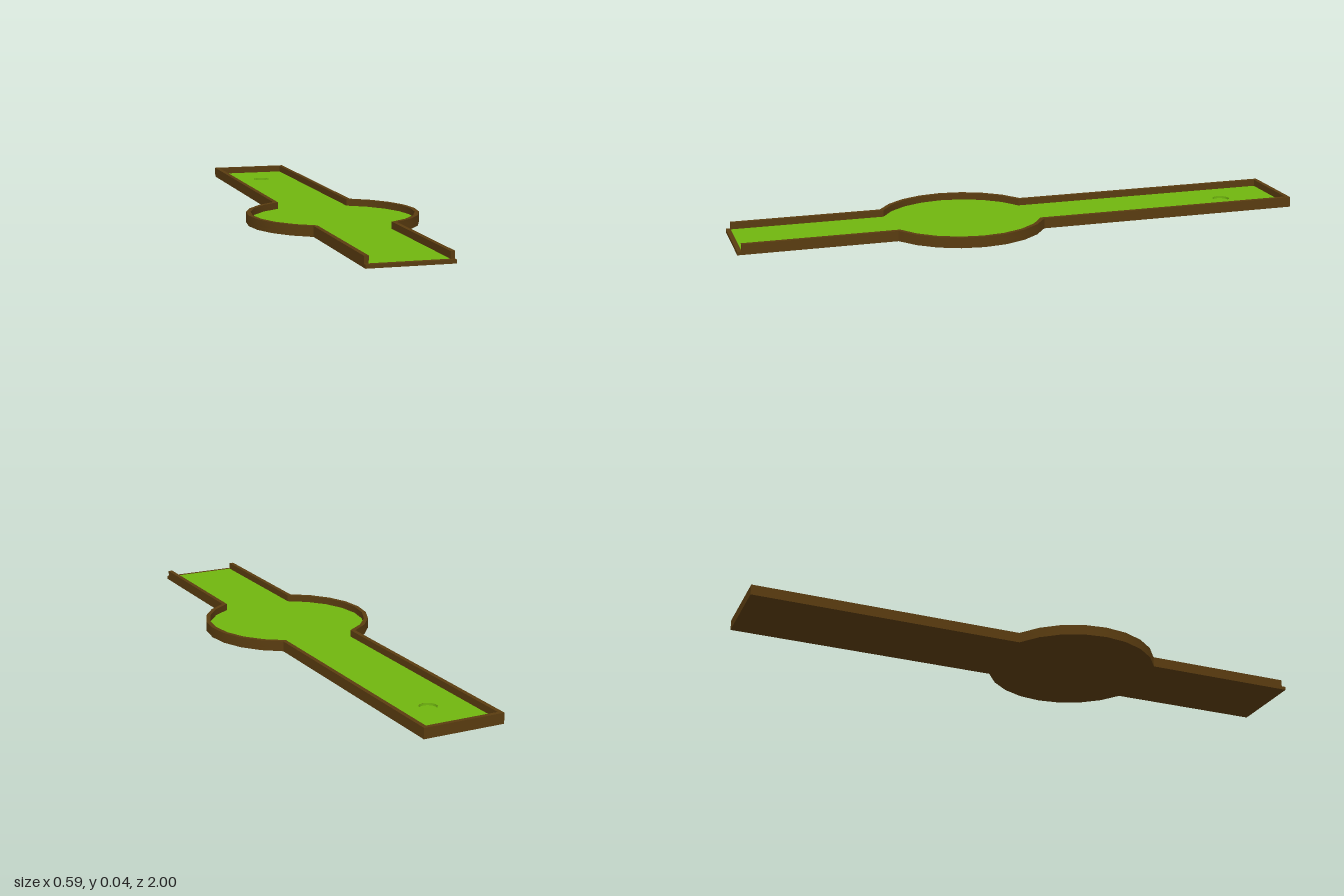
import * as THREE from 'three';
import { toCreasedNormals } from 'three/addons/utils/BufferGeometryUtils.js';

const FLOOR = 0.012, TOP = 0.036, CUP_FLOOR = 0.004;
const BULGE_Z = 0.2, HOLE_Z = -0.79, HOLE_R = 0.03;

// One edge of the lane from back to front: straight, round bulge, straight
function sideEdge(halfWidth, radius, back, front) {
  const points = [new THREE.Vector2(halfWidth, -back)];
  const a = Math.acos(halfWidth / radius);
  const steps = 8;
  for (let i = 0; i <= steps; i++) {
    const t = a - (2 * a * i) / steps;
    points.push(new THREE.Vector2(radius * Math.cos(t), -BULGE_Z + radius * Math.sin(t)));
  }
  points.push(new THREE.Vector2(halfWidth, -front));
  return points;
}

const mirror = (points) => points.map((p) => new THREE.Vector2(-p.x, p.y));

// Closed lane outline
function laneShape(halfWidth, radius, back, front) {
  const edge = sideEdge(halfWidth, radius, back, front);
  return new THREE.Shape([...edge, ...mirror(edge).reverse()]);
}

function addHole(shape) {
  shape.holes.push(new THREE.Path().absarc(0, -HOLE_Z, HOLE_R, 0, Math.PI * 2, true));
  return shape;
}

// Extrude a plan shape upwards between two heights
function slab(shape, y0, y1) {
  const g = new THREE.ExtrudeGeometry(shape, { depth: y1 - y0, bevelEnabled: false, curveSegments: 8 });
  g.rotateX(-Math.PI / 2).translate(0, y0, 0);
  return toCreasedNormals(g, 0.5);
}

export function createModel() {
  const group = new THREE.Group();
  const wood = new THREE.MeshStandardMaterial({ color: 0x5a3c10 });
  const turf = new THREE.MeshStandardMaterial({ color: 0x70b60f });
  const turfInside = new THREE.MeshStandardMaterial({ color: 0x70b60f, side: THREE.DoubleSide });
  const add = (name, geometry, material) => {
    const mesh = new THREE.Mesh(geometry, material);
    mesh.name = name;
    group.add(mesh);
    return mesh;
  };

  const outer = [0.142, 0.295, -1];
  const inner = [0.127, 0.28, -0.985];

  // Wooden base, solid below and pierced above for the cup
  add('basePlate', slab(laneShape(...outer, 1), 0, CUP_FLOOR), wood);
  add('baseDeck', slab(addHole(laneShape(...outer, 1)), CUP_FLOOR, FLOOR), wood);

  // Side and back rails, open at the front lip
  const outside = sideEdge(...outer, 0.985);
  const inside = sideEdge(...inner, 0.985);
  const rails = new THREE.Shape([
    ...outside.slice().reverse(), ...mirror(outside),
    ...mirror(inside).reverse(), ...inside,
  ]);
  add('rails', slab(rails, FLOOR, TOP), wood);

  // Turf playing surface
  const green = new THREE.ShapeGeometry(addHole(laneShape(...inner, 0.985)), 8);
  green.rotateX(-Math.PI / 2).translate(0, FLOOR + 0.0006, 0);
  add('turf', green, turf);

  // Recessed cup
  const depth = FLOOR + 0.0006 - CUP_FLOOR;
  const wall = add('cupWall', new THREE.CylinderGeometry(HOLE_R - 0.0003, HOLE_R - 0.0003, depth, 32, 1, true), turfInside);
  wall.position.set(0, CUP_FLOOR + depth / 2, HOLE_Z);
  const bottom = add('cupBottom', new THREE.CircleGeometry(HOLE_R, 32).rotateX(-Math.PI / 2), turf);
  bottom.position.set(0, CUP_FLOOR + 0.0005, HOLE_Z);

  return group;
}
